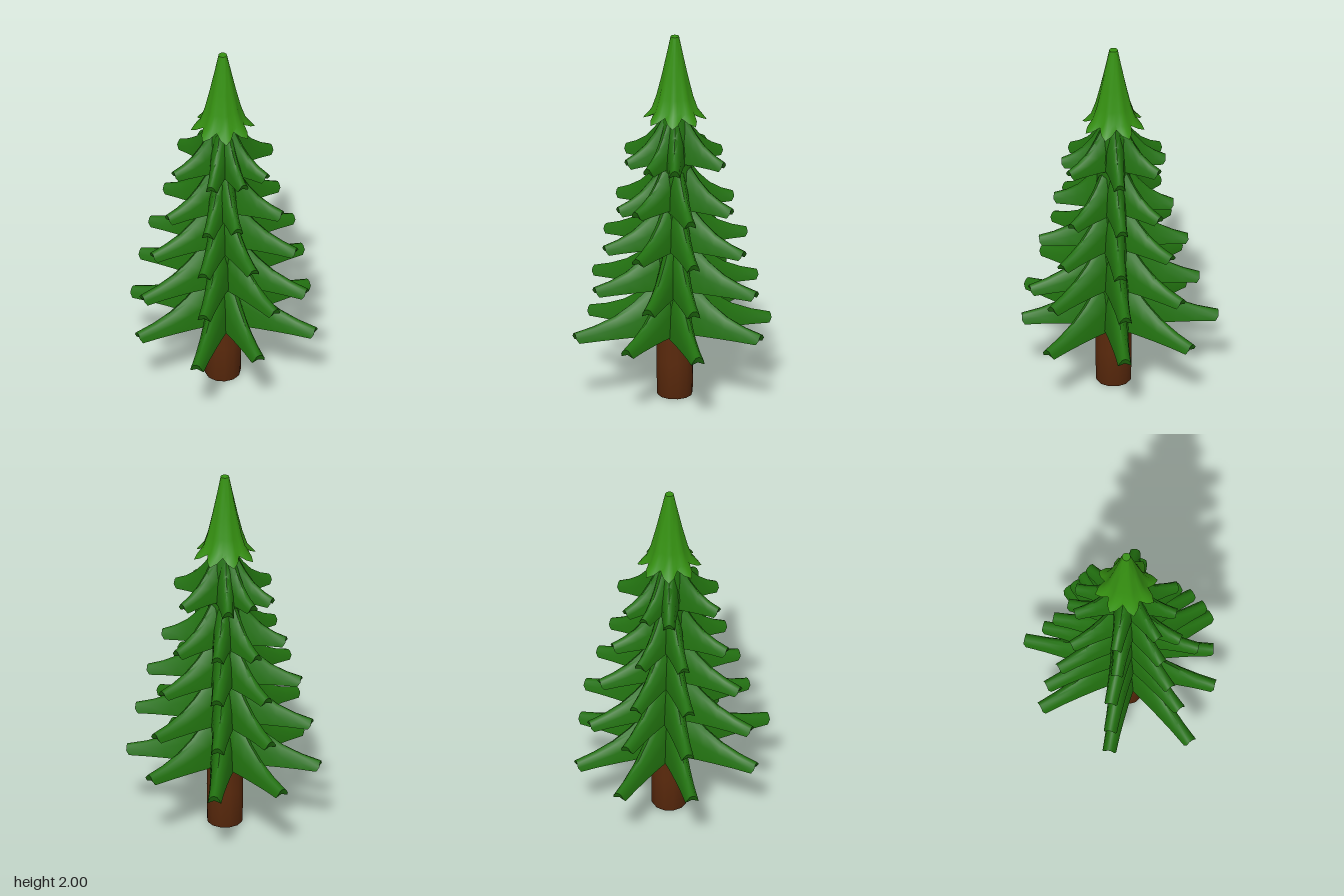
import * as THREE from 'three';
import { toCreasedNormals } from 'three/addons/utils/BufferGeometryUtils.js';

const material = (name, color) => {
  const m = new THREE.MeshStandardMaterial({ color });
  m.name = name;
  return m;
};

// Skin a row of closed rings (equal point counts) with quads
function loft(rings, crease) {
  const n = rings[0].length, index = [];
  for (let i = 0; i < rings.length - 1; i++) {
    for (let j = 0; j < n; j++) {
      const k = (j + 1) % n, a = i * n, b = a + n;
      index.push(a + j, a + k, b + k, a + j, b + k, b + j);
    }
  }
  const g = new THREE.BufferGeometry();
  g.setAttribute('position', new THREE.Float32BufferAttribute(rings.flat(2), 3));
  g.setIndex(index);
  return toCreasedNormals(g, crease);
}

// Ridge of a bough: fraction of reach, height above the hem, hem half-width
const RIDGE = [
  [0.08, 0.29, 0.062], [0.18, 0.27, 0.066], [0.28, 0.225, 0.063], [0.42, 0.165, 0.054],
  [0.6, 0.108, 0.046], [0.8, 0.07, 0.039], [1, 0.046, 0.036],
];

// One drooping bough along +x: an arched saddle that thins towards a blunt tip
function boughGeometry(reach, lift, width, droop) {
  const rings = RIDGE.map(([u, h, w]) => {
    const x = u * reach, y0 = -droop * u * u, H = h * lift, W = w * width;
    const hemX = x - 0.015 * u;
    return [
      [hemX, y0, -W], [x, y0 + H * 0.5, -W * 0.82], [x, y0 + H * 0.9, -W * 0.42],
      [x, y0 + H, 0],
      [x, y0 + H * 0.9, W * 0.42], [x, y0 + H * 0.5, W * 0.82], [hemX, y0, W],
      [hemX, y0 + H * 0.3, 0],
    ];
  });
  // close the tip onto the middle of its underside
  const end = rings[rings.length - 1];
  rings.push(end.map(() => end[7]));
  return loft(rings, 0.9);
}

// Tiers: hem height, reach, height scale, width scale
const TIERS = [
  [0.365, 0.52, 1.04, 1.0],
  [0.605, 0.48, 1.0, 0.97],
  [0.84, 0.415, 0.95, 0.95],
  [1.055, 0.335, 1.0, 0.9],
  [1.31, 0.29, 1.0, 0.85],
];
// Boughs around the trunk: heading in degrees (from +x towards +z), reach factor
const BOUGHS = [
  [-107, 1.05], [-67, 1.0], [-22, 0.975], [27, 0.995],
  [73, 0.92], [111, 1.07], [159, 0.965], [210, 0.985],
];
// Boughs that stray from the common headings, by tier and bough
const STRAYS = { 1: { 4: 59 }, 3: { 4: 82 }, 4: { 1: -77, 3: 41, 7: 224 } };

function createTier([y, reach, lift, width], t, foliage) {
  const tier = new THREE.Group();
  tier.name = 'boughTier' + (t + 1);
  BOUGHS.forEach(([deg, factor], i) => {
    const heading = THREE.MathUtils.degToRad(
      STRAYS[t]?.[i] ?? deg + 1.5 * Math.sin(t * 2.3 + i * 1.7) * (t > 0));
    // upper tiers are a little shallower than wide
    const f = t === 0 ? factor : 1 - 0.07 * Math.sin(heading) ** 2;
    const droop = 0.008 * (1 + Math.sin(i * 2.1 + t));
    const bough = new THREE.Mesh(boughGeometry(reach * f, lift, width, droop), foliage);
    bough.name = 'bough';
    bough.position.y = y + 0.006 * Math.sin(i * 3.7 + t * 1.9);
    bough.rotation.y = -heading;
    tier.add(bough);
  });
  return tier;
}

// Pointed crown with eight lobes at the hem; rings run from tip to underside
function crownGeometry() {
  const rows = [ // y of lobe, y of valley, radius of lobe, radius of valley
    [2, 2, 0, 0], [2, 2, 0.022, 0.022], [1.9, 1.9, 0.043, 0.04], [1.78, 1.78, 0.069, 0.064],
    [1.67, 1.67, 0.096, 0.086], [1.595, 1.61, 0.122, 0.104], [1.54, 1.58, 0.168, 0.116],
    [1.55, 1.585, 0.13, 0.1], [1.6, 1.6, 0.05, 0.05], [1.6, 1.6, 0, 0],
  ];
  const n = 32;
  return loft(rows.map(([yl, yv, rl, rv]) => Array.from({ length: n }, (_, j) => {
    const a = j / n * Math.PI * 2;
    const k = Math.pow(0.5 + 0.5 * Math.cos(a * 8), 0.8);
    const r = rv + (rl - rv) * k;
    return [Math.cos(a) * r, yv + (yl - yv) * k, Math.sin(a) * r];
  })), 0.8);
}

export function createModel() {
  const model = new THREE.Group();
  model.name = 'firTree';
  const bark = material('bark', 0x5a290c);
  const foliage = material('foliage', 0x21700f);
  const freshGreen = material('freshGreen', 0x359011);

  const add = (name, profile, sides, mat) => {
    const points = profile.map(([r, y]) => new THREE.Vector2(r, y));
    const mesh = new THREE.Mesh(
      toCreasedNormals(new THREE.LatheGeometry(points, sides), 0.7), mat);
    mesh.name = name;
    model.add(mesh);
  };

  // Trunk with a slightly worn foot
  add('trunk', [[0, 0], [0.09, 0], [0.095, 0.012], [0.097, 0.2], [0.095, 0.45]], 12, bark);

  // Green core between the boughs, narrowing at each tier
  const core = [[0, 0.385], [0.1, 0.385]];
  TIERS.forEach(([y], t) => {
    core.push([0.135 - t * 0.009, y + 0.05], [0.115 - t * 0.009, y + 0.2]);
  });
  core.push([0.06, 1.59], [0, 1.59]);
  add('foliageCore', core, 16, foliage);

  TIERS.forEach((tier, t) => model.add(createTier(tier, t, foliage)));

  const crown = new THREE.Mesh(crownGeometry(), freshGreen);
  crown.name = 'crown';
  model.add(crown);
  return model;
}
